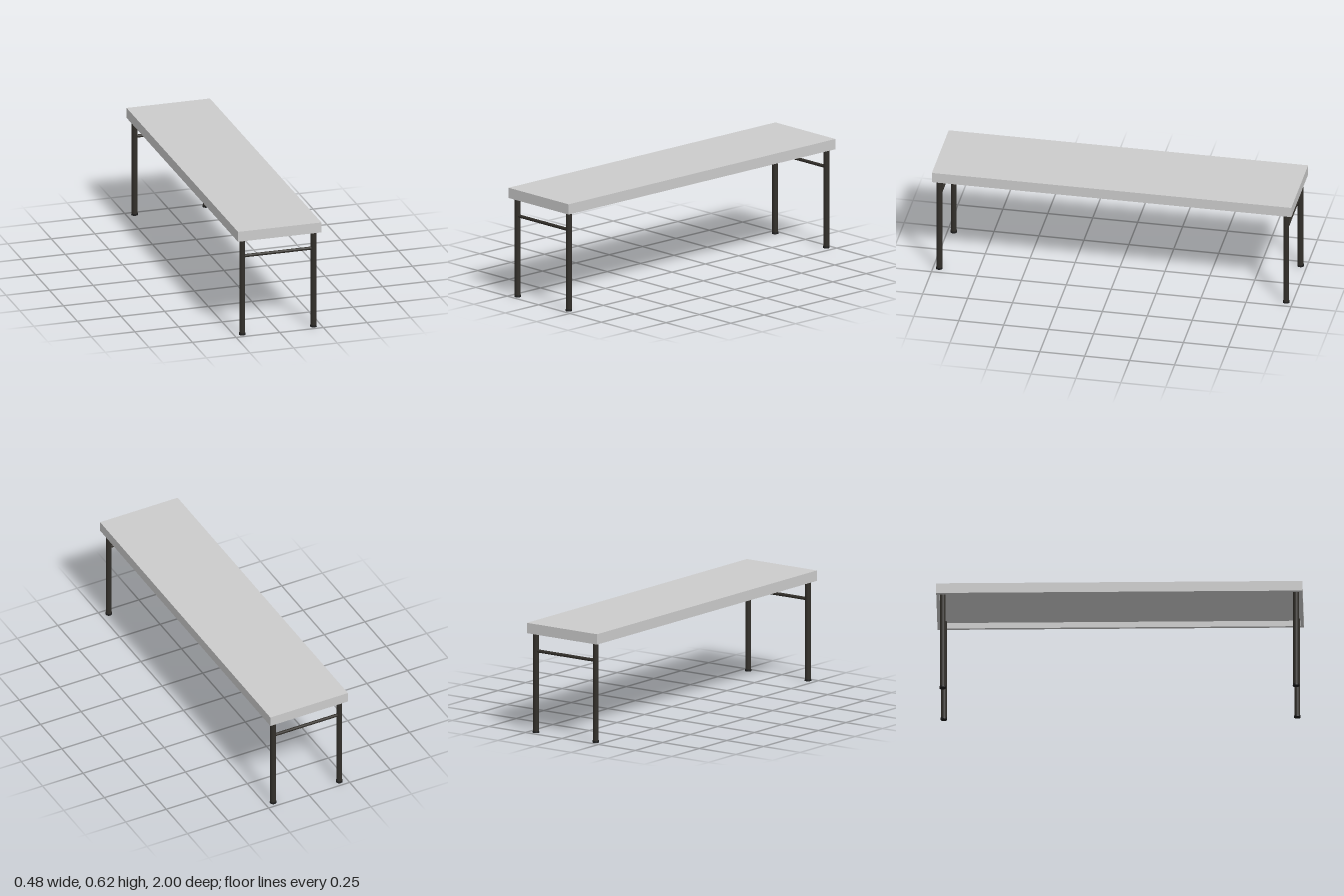
import * as THREE from 'three';

const TOP = 0.615, CEILING = 0.59, EDGE = 0.557;
const HALF_X = 0.239, HALF_Z = 1, RIM = 0.018;
const LEG_X = 0.204, LEG_Z = 0.965;

// Closed tray from rectangular loops [halfX, halfZ, y], each a point or a ring
function loftRectangles(loops) {
  const corners = [[1, 1], [1, -1], [-1, -1], [-1, 1]];
  const positions = [];
  const point = ([hx, hz, y], j) => [corners[j % 4][0] * hx, y, corners[j % 4][1] * hz];
  for (let i = 0; i < loops.length - 1; i++) {
    const upper = loops[i], lower = loops[i + 1];
    for (let j = 0; j < 4; j++) {
      const a = point(upper, j), b = point(upper, j + 1);
      const c = point(lower, j), d = point(lower, j + 1);
      if (lower[0] > 0) positions.push(...a, ...c, ...d);
      if (upper[0] > 0) positions.push(...a, ...d, ...b);
    }
  }
  const geometry = new THREE.BufferGeometry();
  geometry.setAttribute('position', new THREE.Float32BufferAttribute(positions, 3));
  geometry.computeVertexNormals();
  return geometry;
}

export function createModel() {
  const model = new THREE.Group();
  model.name = 'bench';

  const topMaterial = new THREE.MeshStandardMaterial({ color: 0xcccccc });
  const metal = new THREE.MeshStandardMaterial({ color: 0x322f2a });
  const rubber = new THREE.MeshStandardMaterial({ color: 0x1c1c1c });

  const add = (parent, name, geometry, material, x, y, z) => {
    const mesh = new THREE.Mesh(geometry, material);
    mesh.name = name;
    mesh.position.set(x, y, z);
    parent.add(mesh);
    return mesh;
  };

  // Top with a hollow underside inside a thin rim
  const innerX = HALF_X - RIM, innerZ = HALF_Z - RIM;
  add(model, 'benchTop', loftRectangles([
    [0, 0, TOP],
    [HALF_X, HALF_Z, TOP],
    [HALF_X, HALF_Z, EDGE],
    [innerX, innerZ, EDGE],
    [innerX, innerZ, CEILING],
    [0, 0, CEILING],
  ]), topMaterial, 0, 0, 0);

  // Leg frames: two tubular legs with feet, joined by a crossbar
  const legGeometry = new THREE.CylinderGeometry(0.016, 0.016, CEILING - 0.005, 32);
  const footGeometry = new THREE.CylinderGeometry(0.0175, 0.0185, 0.01, 32);
  const barGeometry = new THREE.CylinderGeometry(0.009, 0.009, 2 * LEG_X - 0.02, 24);

  for (const end of [1, -1]) {
    const frame = new THREE.Group();
    frame.name = end > 0 ? 'frontLegFrame' : 'backLegFrame';
    frame.position.z = end * LEG_Z;
    for (const side of [1, -1]) {
      const prefix = side > 0 ? 'left' : 'right';
      add(frame, prefix + 'Leg', legGeometry, metal, side * LEG_X, (CEILING + 0.005) / 2, 0);
      add(frame, prefix + 'Foot', footGeometry, rubber, side * LEG_X, 0.005, 0);
    }
    add(frame, 'crossbar', barGeometry, metal, 0, 0.458, 0).rotation.z = Math.PI / 2;
    model.add(frame);
  }

  return model;
}
